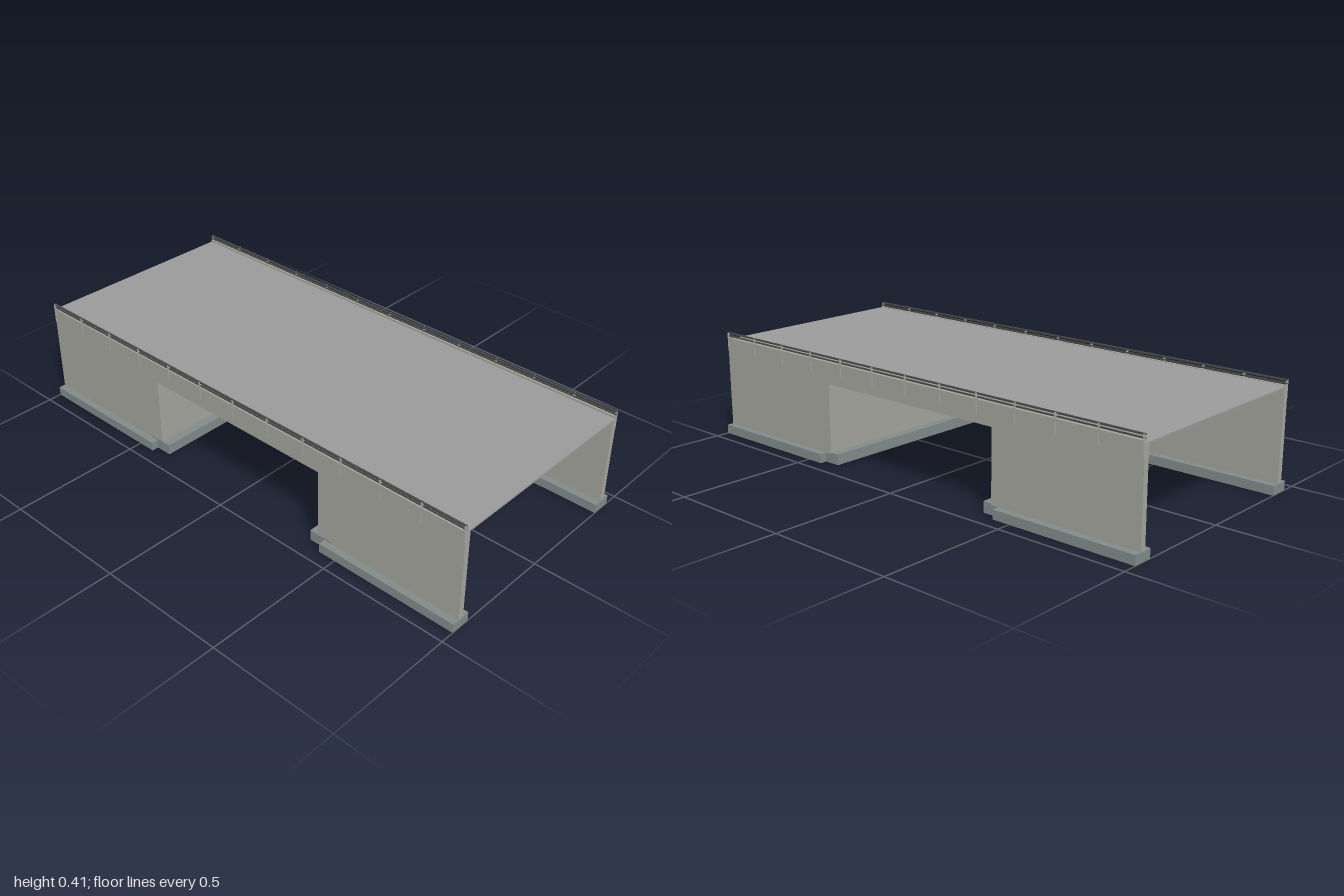
import * as THREE from 'three';

const mat = (color) => new THREE.MeshStandardMaterial({ color });

export function createModel() {
  const model = new THREE.Group();
  model.name = 'underpassBridge';
  const concrete = mat(0xa3a49c), footing = mat(0x808b8a), asphalt = mat(0x999a99);
  const tan = mat(0xa1978b), steel = mat(0x4c4d4b), post = mat(0xa8aaa6);

  // Box given by its min and max corners
  function box(parent, name, material, x0, x1, y0, y1, z0, z1) {
    const mesh = new THREE.Mesh(new THREE.BoxGeometry(x1 - x0, y1 - y0, z1 - z0), material);
    mesh.position.set((x0 + x1) / 2, (y0 + y1) / 2, (z0 + z1) / 2);
    mesh.name = name;
    parent.add(mesh);
    return mesh;
  }

  // Side walls: wing walls joined by the fascia over the opening
  const outline = new THREE.Shape([
    [-1, 0.035], [-0.4, 0.035], [-0.4, 0.305], [0.4, 0.305],
    [0.4, 0.035], [1, 0.035], [1, 0.381], [-1, 0.377],
  ].map(([x, y]) => new THREE.Vector2(x, y)));
  for (const s of [1, -1]) {
    const geometry = new THREE.ExtrudeGeometry(outline, { depth: 0.022, bevelEnabled: false });
    const wall = new THREE.Mesh(geometry, concrete);
    wall.name = s > 0 ? 'frontSideWall' : 'backSideWall';
    wall.position.z = s > 0 ? 0.398 : -0.42;
    model.add(wall);
  }

  // Span slab over the passage
  box(model, 'spanSlab', concrete, -0.428, 0.428, 0.305, 0.374, -0.398, 0.398);

  // Abutments and footings on both sides of the passage
  for (const s of [1, -1]) {
    const side = new THREE.Group();
    side.name = s > 0 ? 'leftAbutment' : 'rightAbutment';
    model.add(side);
    const span = (a, b) => (s > 0 ? [a, b] : [-b, -a]);
    box(side, 'abutmentWall', concrete, ...span(0.4, 0.43), 0.035, 0.335, -0.398, 0.398);
    box(side, 'bearingStrip', tan, ...span(0.41, 0.43), 0.335, 0.375, -0.398, 0.398);
    box(side, 'abutmentFooting', footing, ...span(0.365, 0.46), 0, 0.041, -0.42, 0.42);
    for (const t of [1, -1]) {
      const z = t > 0 ? [0.37, 0.447] : [-0.447, -0.37];
      box(side, 'wingFooting', footing, ...span(0.43, 1), 0, 0.035, ...z);
    }
  }

  // Road deck, slightly sloped along and across
  const deck = new THREE.Group();
  deck.name = 'deck';
  deck.position.y = 0.38;
  deck.rotation.set(-0.007, 0, 0.002);
  model.add(deck);
  box(deck, 'roadSurface', asphalt, -1, 1, -0.004, 0.003, -0.412, 0.412);

  // Edge kerbs and railings
  for (const t of [1, -1]) {
    const rail = new THREE.Group();
    rail.name = t > 0 ? 'frontRailing' : 'backRailing';
    rail.position.set(0, 0.38, t * 0.416);
    rail.rotation.z = 0.002;
    model.add(rail);
    box(rail, 'kerb', concrete, -1, 1, -0.004, 0.008, -0.006, 0.005);
    box(rail, 'lowerRail', steel, -1, 1, 0.012, 0.017, -0.003, 0.003);
    box(rail, 'topRail', steel, -1, 1, 0.023, 0.029, -0.003, 0.003);
    for (let i = 0; i <= 12; i++) {
      const x = -0.997 + (i * 1.994) / 12;
      const z = t > 0 ? [-0.002, 0.006] : [-0.006, 0.002];
      box(rail, 'railPost', post, x - 0.003, x + 0.003, -0.045, 0.028, ...z);
    }
  }
  return model;
}
